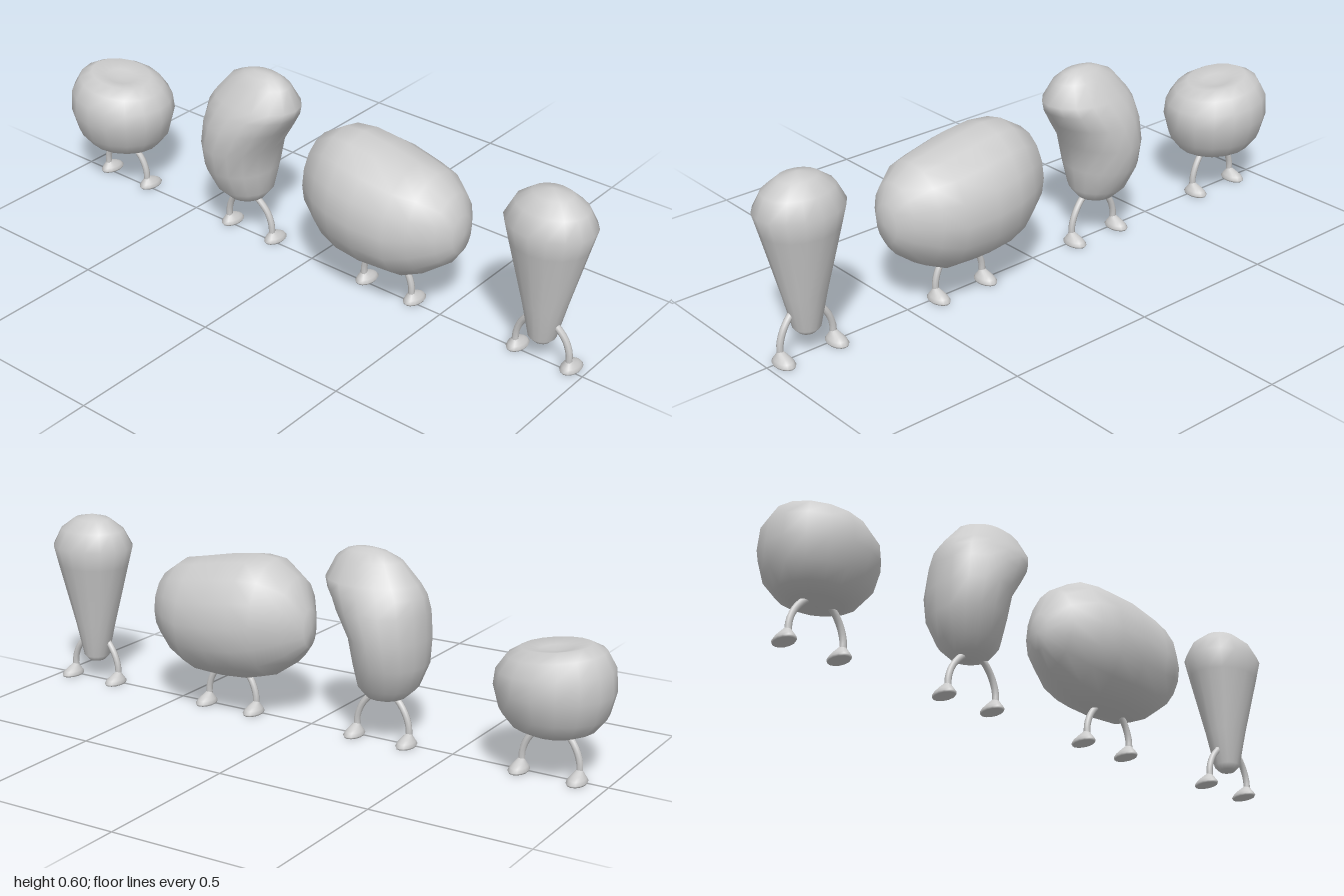
import * as THREE from 'three';
import { mergeVertices } from 'three/addons/utils/BufferGeometryUtils.js';

const material = new THREE.MeshStandardMaterial({ color: 0xcccccc });

// Skin rings of points; place(row, cos, sin) gives each point
function loft(rows, place, sides = 16) {
  const pos = [], index = [];
  rows.forEach((row, i) => {
    for (let j = 0; j < sides; j++) {
      const t = (j / sides) * Math.PI * 2;
      pos.push(...place(row, Math.cos(t), Math.sin(t)));
      if (i < rows.length - 1) {
        const a = i * sides + j, b = i * sides + ((j + 1) % sides);
        index.push(a, a + sides, b, b, a + sides, b + sides);
      }
    }
  });
  let g = new THREE.BufferGeometry();
  g.setAttribute('position', new THREE.Float32BufferAttribute(pos, 3));
  g.setIndex(index);
  g = mergeVertices(g, 1e-5);
  g.computeVertexNormals();
  return g;
}

function part(name, geometry) {
  const mesh = new THREE.Mesh(geometry, material);
  mesh.name = name;
  return mesh;
}

// Tapered body: y, half width, half depth
function taperedBody() {
  const rows = [
    [0.06, 0, 0], [0.068, 0.026, 0.026], [0.085, 0.042, 0.042], [0.2, 0.062, 0.07],
    [0.4, 0.106, 0.122], [0.465, 0.118, 0.14], [0.52, 0.09, 0.112], [0.556, 0.05, 0.062], [0.57, 0, 0],
  ];
  return loft(rows, ([y, rx, rz], c, s) => [rx * c, y, 0.858 + rz * s]);
}

// Long oval body: z, top, bottom
function ovalBody() {
  const rows = [
    [0, 0.31, 0.31], [0.006, 0.375, 0.25], [0.05, 0.47, 0.195], [0.13, 0.52, 0.14],
    [0.2, 0.525, 0.12], [0.29, 0.513, 0.115], [0.4, 0.49, 0.118], [0.47, 0.476, 0.15],
    [0.535, 0.43, 0.2], [0.565, 0.37, 0.245], [0.575, 0.31, 0.31],
  ];
  return loft(rows, ([z, top, bottom], c, s) => {
    const w = 0.19 * Math.sqrt(Math.max(0, 1 - ((z - 0.2875) / 0.2875) ** 2));
    return [w * c, (top + bottom) / 2 - ((top - bottom) / 2) * s, z];
  });
}

// Bent bean body: y, front z, back z, half width
function beanBody() {
  const rows = [
    [0.123, -0.275, -0.275, 0], [0.144, -0.208, -0.33, 0.06], [0.18, -0.18, -0.37, 0.095],
    [0.257, -0.17, -0.4, 0.13], [0.34, -0.158, -0.403, 0.148], [0.42, -0.107, -0.4, 0.144],
    [0.47, -0.075, -0.39, 0.125], [0.503, -0.064, -0.37, 0.11], [0.567, -0.096, -0.315, 0.068],
    [0.59, -0.13, -0.265, 0.04], [0.599, -0.16, -0.23, 0.015], [0.6, -0.195, -0.195, 0],
  ];
  return loft(rows, ([y, front, back, w], c, s) =>
    [w * c, y, (front + back) / 2 + ((front - back) / 2) * s]);
}

// Squat body with a tilted, dimpled top: y, half width, half depth
function squatBody() {
  const rows = [
    [0.128, 0, 0], [0.135, 0.07, 0.08], [0.155, 0.11, 0.125], [0.2, 0.145, 0.162],
    [0.27, 0.165, 0.18], [0.33, 0.16, 0.174], [0.375, 0.132, 0.146],
    [0.398, 0.092, 0.105], [0.387, 0.045, 0.05], [0.38, 0, 0],
  ];
  return loft(rows, ([y, rx, rz], c, s) => {
    const tilt = 0.12 * THREE.MathUtils.smoothstep(y, 0.25, 0.39);
    return [rx * c, y - tilt * rz * s, -0.822 + rz * s];
  });
}

// Foot with its toe toward +x: y, heel x, toe x, half width
function footGeometry() {
  const rows = [
    [0, 0.015, 0.015, 0], [0, -0.026, 0.058, 0.027], [0.006, -0.029, 0.061, 0.03],
    [0.016, -0.022, 0.052, 0.025], [0.025, -0.015, 0.037, 0.018],
    [0.034, -0.009, 0.016, 0.011], [0.039, -0.006, 0.007, 0.007], [0.04, 0, 0, 0],
  ];
  return loft(rows, ([y, heel, toe, w], c, s) =>
    [(heel + toe) / 2 + ((toe - heel) / 2) * c, y, w * s], 14);
}

// Pair of bowed legs, mirrored front to back
function legPair(z) {
  const group = new THREE.Group();
  group.name = 'legs';
  for (const side of [1, -1]) {
    const path = new THREE.CatmullRomCurve3([
      [0, 0.025, 0.092], [0, 0.06, 0.09], [-0.001, 0.1, 0.075], [-0.005, 0.135, 0.046], [-0.006, 0.15, 0.022],
    ].map(([x, y, dz]) => new THREE.Vector3(x, y, side * dz)));
    const foot = part('foot', footGeometry());
    foot.position.z = side * 0.092;
    const hip = part('hip', new THREE.SphereGeometry(0.011, 8, 6));
    hip.position.copy(path.getPoint(1));
    group.add(part('leg', new THREE.TubeGeometry(path, 10, 0.0105, 8)), hip, foot);
  }
  group.position.z = z;
  return group;
}

export function createModel() {
  const model = new THREE.Group();
  model.name = 'walkingRow';
  const figures = [
    ['tapered', taperedBody, 0.861], ['oval', ovalBody, 0.301],
    ['bean', beanBody, -0.258], ['squat', squatBody, -0.818],
  ];
  for (const [name, body, legZ] of figures) {
    const figure = new THREE.Group();
    figure.name = name + 'Figure';
    figure.add(part(name + 'Body', body()), legPair(legZ));
    model.add(figure);
  }
  return model;
}
